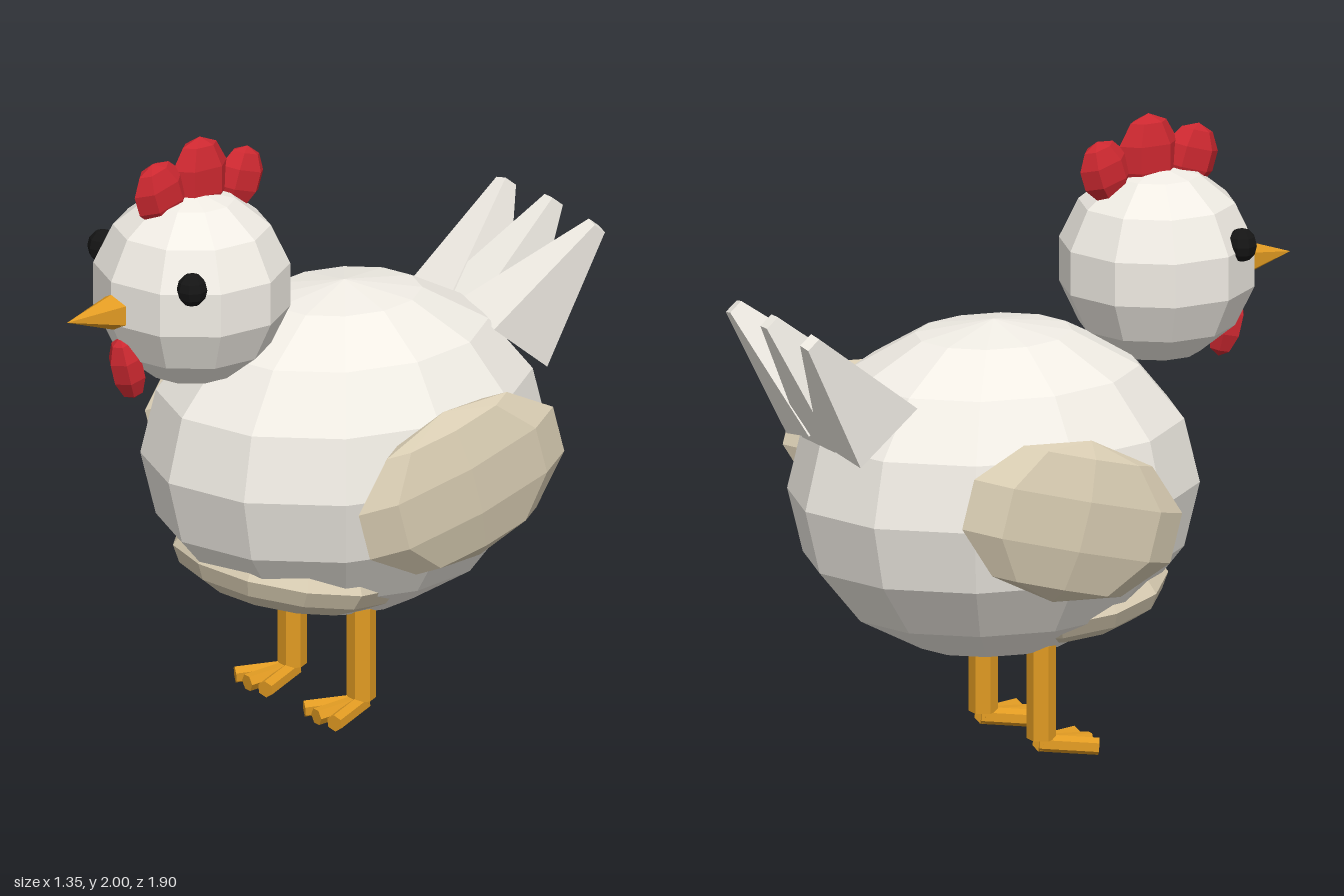
import * as THREE from 'three';

const paint = (color) => new THREE.MeshStandardMaterial({ color, flatShading: true });

export function createModel() {
  const hen = new THREE.Group();
  hen.name = 'hen';
  const white = paint(0xf0ece4), cream = paint(0xd8ccb2), red = paint(0xcc2830);
  const orange = paint(0xe09a22), black = paint(0x151515);

  const add = (name, geometry, material) => {
    const mesh = new THREE.Mesh(geometry, material);
    mesh.name = name;
    hen.add(mesh);
    return mesh;
  };

  // Faceted ellipsoid with a corner facing the front
  const blob = (name, material, [w, h], radii, position, tilt = 0) => {
    const geometry = new THREE.SphereGeometry(1, w, h).rotateY(Math.PI / 2);
    geometry.scale(...radii).rotateX(tilt).translate(...position);
    return add(name, geometry, material);
  };

  // Six-sided rod between two points
  const rod = (name, material, from, to, radius) => {
    const a = new THREE.Vector3(...from), b = new THREE.Vector3(...to);
    const dir = b.clone().sub(a);
    const geometry = new THREE.CylinderGeometry(radius, radius, dir.length(), 6).rotateY(Math.PI / 6);
    const mesh = add(name, geometry, material);
    mesh.position.copy(a).add(b).multiplyScalar(0.5);
    mesh.quaternion.setFromUnitVectors(new THREE.Vector3(0, 1, 0), dir.normalize());
    return mesh;
  };

  // Body, head and breast patch
  blob('body', white, [12, 8], [0.57, 0.545, 0.68], [0, 0.855, -0.12]);
  blob('head', white, [10, 7], [0.32, 0.32, 0.32], [0, 1.51, 0.47]);
  blob('breastPatch', cream, [12, 8], [0.41, 0.14, 0.35], [0, 0.5, 0.1], -0.17);

  // Comb lobes and wattle
  blob('combFront', red, [6, 5], [0.055, 0.11, 0.1], [0, 1.84, 0.59], 0.3);
  blob('combMiddle', red, [6, 5], [0.06, 0.14, 0.11], [0, 1.86, 0.44]);
  blob('combBack', red, [6, 5], [0.055, 0.105, 0.09], [0, 1.83, 0.285], -0.3);
  blob('wattle', red, [6, 5], [0.06, 0.112, 0.06], [0, 1.28, 0.72], 0.25);

  // Beak
  const beak = new THREE.ConeGeometry(0.07, 0.205, 6).rotateX(Math.PI / 2).translate(0, 1.48, 0.85);
  add('beak', beak, orange);

  // Tail feathers: square tapering shafts, fanned out
  for (const s of [-1, 0, 1]) {
    const shaft = new THREE.CylinderGeometry(0.026 * Math.SQRT2, 0.133 * Math.SQRT2, 0.445, 4);
    shaft.rotateY(Math.PI / 4).scale(0.82, 1, 1).translate(0, 0.2125, 0);
    const feather = add('tailFeather', shaft, white);
    feather.position.set(s * 0.14, 1.16, -0.655);
    feather.rotation.set(-0.687, 0, -s * 0.254);
  }

  // Paired parts
  for (const [side, s] of [['left', 1], ['right', -1]]) {
    blob(side + 'Wing', cream, [8, 5], [0.092, 0.265, 0.41], [s * 0.588, 0.88, -0.16], 0.27);
    blob(side + 'Eye', black, [8, 6], [0.048, 0.055, 0.05], [s * 0.246, 1.6, 0.642]);
    rod(side + 'Leg', orange, [s * 0.19, 0.06, -0.052], [s * 0.19, 0.37, -0.052], 0.047);
    for (const t of [-1, 0, 1])
      rod(side + 'Toe', orange, [s * 0.19, 0.046, -0.06], [s * 0.19 + t * 0.083, 0.032, t ? 0.11 : 0.122], 0.028);
  }
  return hen;
}
